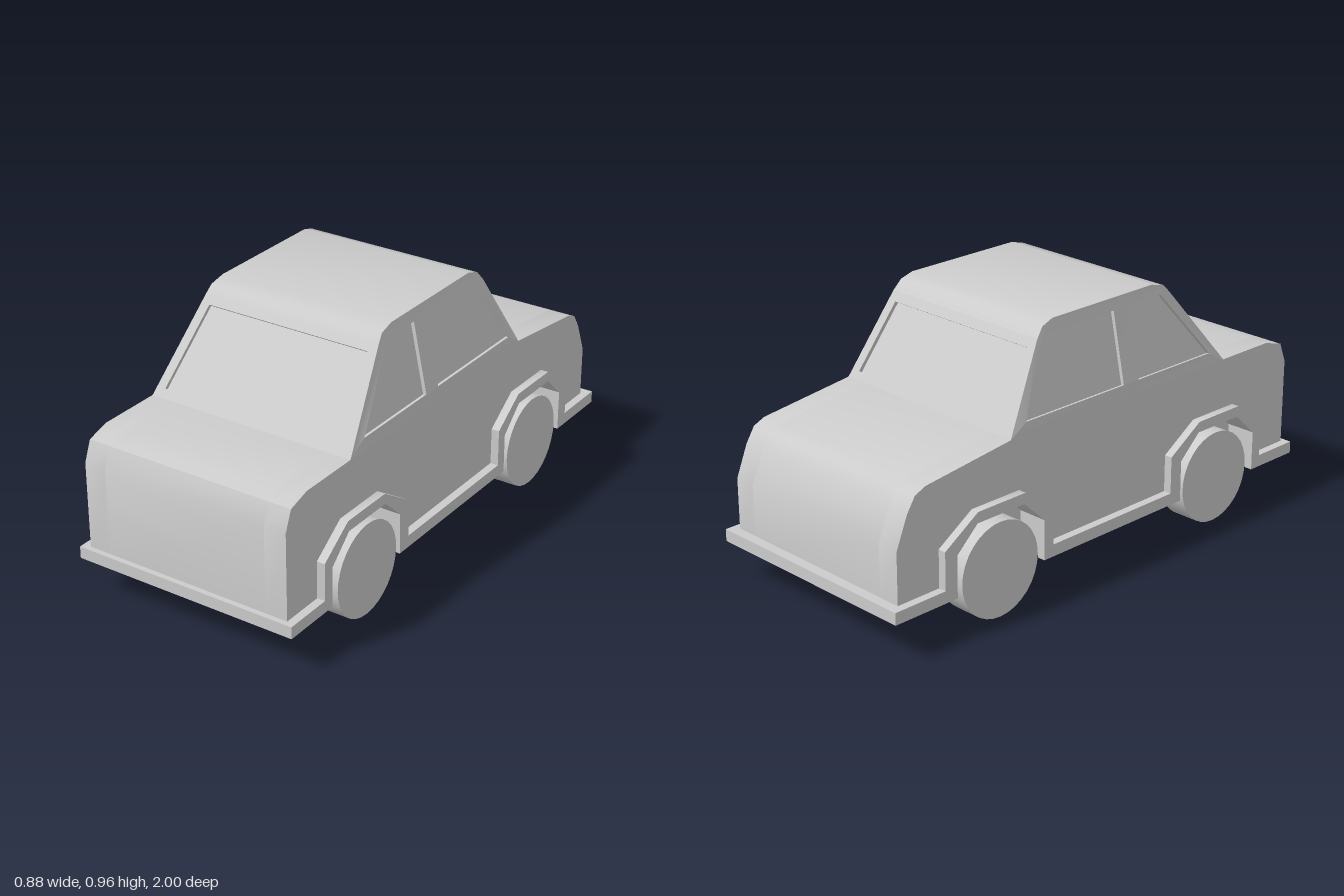
import * as THREE from 'three';
import { toCreasedNormals } from 'three/addons/utils/BufferGeometryUtils.js';

const paint = new THREE.MeshStandardMaterial({ color: 0xcccccc, side: THREE.DoubleSide });
paint.name = 'light grey';

const toShape = (pts) => new THREE.Shape(pts.map(([a, b]) => new THREE.Vector2(a, b)));

function addMesh(parent, name, geometry) {
  const mesh = new THREE.Mesh(geometry, paint);
  mesh.name = name;
  parent.add(mesh);
  return mesh;
}

// Side outline given as [z, y], extruded across x from x0 to x1
function slab(pts, x0, x1) {
  const g = new THREE.ExtrudeGeometry(toShape(pts), { depth: x1 - x0, bevelEnabled: false });
  g.rotateY(-Math.PI / 2).translate(x1, 0, 0);
  return toCreasedNormals(g, 0.7);
}

// Surface from a list of quads, each with four [x, y, z] corners
function quads(list) {
  const pos = list.flatMap(([a, b, c, d]) => [a, b, c, a, c, d].flat());
  const g = new THREE.BufferGeometry();
  g.setAttribute('position', new THREE.Float32BufferAttribute(pos, 3));
  return toCreasedNormals(g, 0.7);
}

// Flat frame with window holes, mapped into space, plus recessed glass
function framedPanel(parent, name, outline, holes, mapOuter, mapHole, inset) {
  const shape = toShape(outline);
  holes.forEach((h) => shape.holes.push(new THREE.Path(toShape(h).getPoints())));
  const g = new THREE.ShapeGeometry(shape);
  const p = g.attributes.position;
  for (let i = 0; i < p.count; i++) {
    const map = i < outline.length ? mapOuter : mapHole;
    p.setXYZ(i, ...map(p.getX(i), p.getY(i)));
  }
  addMesh(parent, name + 'Frame', toCreasedNormals(g, 0.3));
  holes.forEach((h) => {
    const rim = h.map(([a, b]) => mapHole(a, b));
    const deep = rim.map((v) => v.map((c, i) => c + inset[i]));
    addMesh(parent, name + 'Reveal', quads(rim.map((v, i) => {
      const j = (i + 1) % rim.length;
      return [v, rim[j], deep[j], deep[i]];
    })));
    addMesh(parent, name + 'Glass', quads([deep]));
  });
}

export function createModel() {
  const car = new THREE.Group();
  car.name = 'car';

  // Wheel arch outlines, front to back; the rear one is the front one shifted
  const shift = (pts) => pts.map(([z, y]) => [z - 1.097, y]);
  const archInner = (y) => [[0.77, y], [0.77, 0.29], [0.674, 0.38], [0.46, 0.38], [0.368, 0.295], [0.368, y]];
  const archOuter = [[0.813, 0.185], [0.813, 0.325], [0.68, 0.42], [0.463, 0.42], [0.315, 0.325], [0.315, 0.185]];

  // Lower body: full-width core and side slabs with arch cut-outs
  const bodyTop = [
    [0.98, 0.15], [0.98, 0.51], [0.95, 0.585], [0.865, 0.61], [0.62, 0.61], [-0.455, 0.61],
    [-0.835, 0.565], [-0.88, 0.545], [-0.915, 0.49], [-0.962, 0.375], [-0.962, 0.15],
  ];
  const cuts = (y) => [...shift(archInner(y)).reverse(), ...archInner(y).reverse()];
  addMesh(car, 'bodyCore', slab(bodyTop, -0.325, 0.325));
  const sideOutline = [...bodyTop, ...cuts(0.15)];

  // Sill and arch trim along each side
  const trimOutline = [
    [1, 0.14], [1, 0.185], ...archOuter, ...shift(archOuter), [-1, 0.185], [-1, 0.14], ...cuts(0.14),
  ];
  for (const s of [1, -1]) {
    const side = s > 0 ? 'left' : 'right';
    const span = (a, b) => (s > 0 ? [a, b] : [-b, -a]);
    addMesh(car, side + 'BodySide', slab(sideOutline, ...span(0.325, 0.41)));
    addMesh(car, side + 'Trim', slab(trimOutline, ...span(0.41, 0.441)));
  }

  // Bumpers closing the trim at both ends
  for (const s of [1, -1]) {
    const bumper = addMesh(car, s > 0 ? 'frontBumper' : 'rearBumper', new THREE.BoxGeometry(0.82, 0.045, 0.05));
    bumper.position.set(0, 0.1625, s * 0.975);
  }

  // Wheels
  for (const [end, z] of [['front', 0.56], ['rear', -0.53]]) {
    for (const s of [1, -1]) {
      const g = new THREE.CylinderGeometry(0.175, 0.175, 0.106, 32).rotateZ(Math.PI / 2);
      const wheel = addMesh(car, end + (s > 0 ? 'Left' : 'Right') + 'Wheel', g);
      wheel.position.set(s * 0.384, 0.175, z);
    }
  }

  // Cabin, narrowing towards the roof
  const cabin = new THREE.Group();
  cabin.name = 'cabin';
  car.add(cabin);
  const halfWidth = (y) => 0.41 - (0.06 * (y - 0.61)) / 0.335;
  const roofLine = [[0.375, 0.915], [0.35, 0.942], [0.29, 0.957], [-0.2, 0.957], [-0.25, 0.94], [-0.28, 0.905]];
  const roofQuads = roofLine.slice(1).map(([z, y], i) => {
    const [z0, y0] = roofLine[i];
    const w0 = halfWidth(y0), w = halfWidth(y);
    return [[-w0, y0, z0], [w0, y0, z0], [w, y, z], [-w, y, z]];
  });
  addMesh(cabin, 'roof', quads(roofQuads));

  // Windscreen and rear window
  const endPanel = (name, zBase, zTop, yTop, hole, inset) => {
    const map = (x, y) => [x, y, zBase + ((zTop - zBase) * (y - 0.61)) / (yTop - 0.61)];
    const w = halfWidth(yTop);
    const outline = [[-0.41, 0.61], [0.41, 0.61], [w, yTop], [-w, yTop]];
    framedPanel(cabin, name, outline, [hole], map, map, inset);
  };
  endPanel('windscreen', 0.62, 0.375, 0.915,
    [[-0.37, 0.637], [0.37, 0.637], [0.326, 0.887], [-0.326, 0.887]], [0, -0.008, -0.01]);
  endPanel('rearWindow', -0.455, -0.28, 0.905,
    [[-0.37, 0.637], [0.37, 0.637], [0.328, 0.873], [-0.328, 0.873]], [0, -0.007, 0.012]);

  // Side panels with two windows each; the sill bulges out slightly
  const sideLine = [[0.62, 0.61], ...roofLine, [-0.455, 0.61]];
  const sideWindows = [
    [[0.54, 0.655], [0.33, 0.913], [0.165, 0.913], [0.165, 0.655]],
    [[0.09, 0.655], [0.09, 0.913], [-0.232, 0.913], [-0.382, 0.655]],
  ];
  for (const s of [1, -1]) {
    framedPanel(cabin, s > 0 ? 'leftSideWindow' : 'rightSideWindow', sideLine, sideWindows,
      (z, y) => [s * halfWidth(y), y, z],
      (z, y) => [s * (0.41 - (0.054 * (y - 0.655)) / 0.258), y, z],
      [-s * 0.013, -0.003, 0]);
  }
  return car;
}
